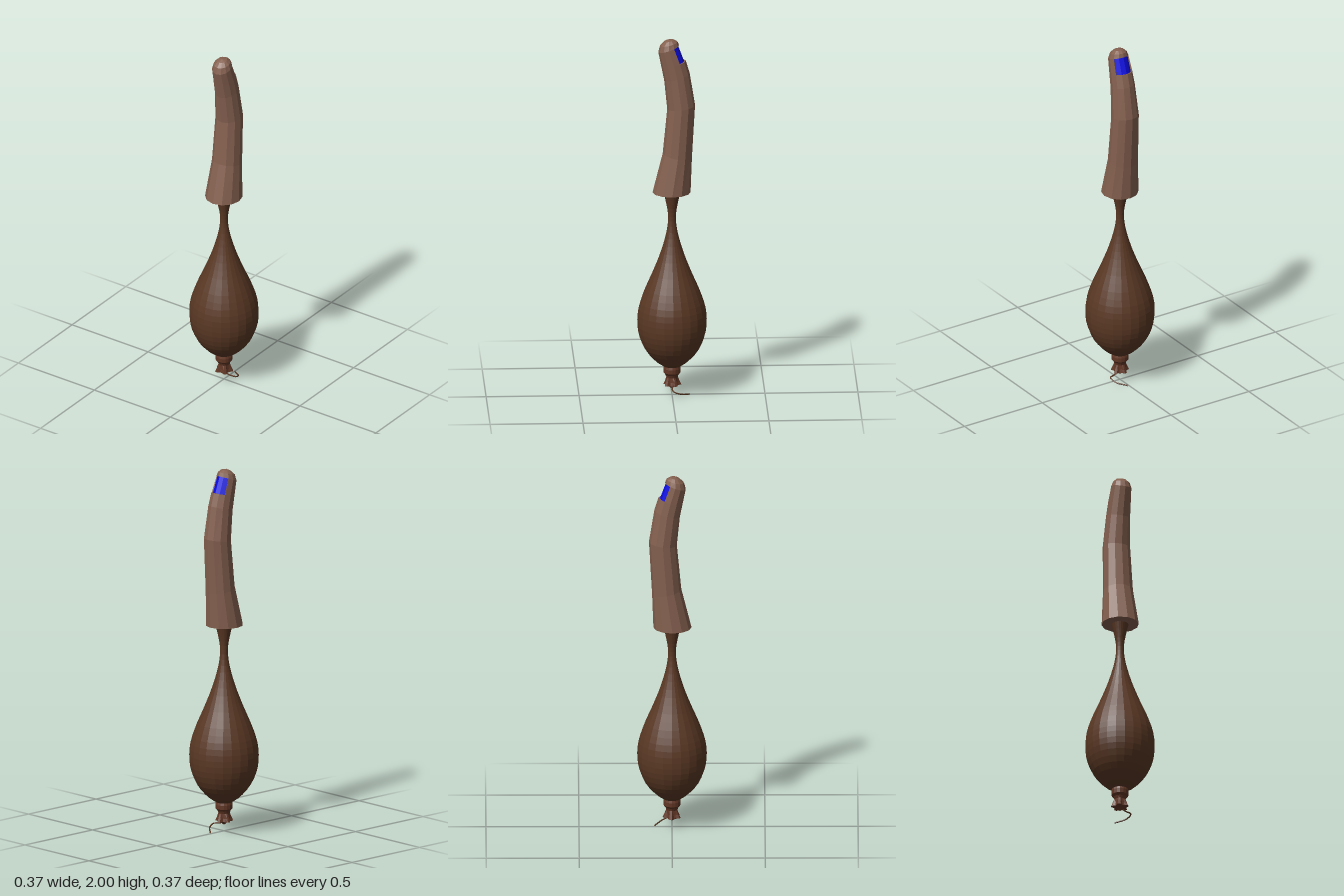
import * as THREE from 'three';

const skin = new THREE.MeshStandardMaterial({ color: 0x84604f, flatShading: true, side: THREE.DoubleSide });
skin.name = 'skin brown';
const wood = new THREE.MeshStandardMaterial({ color: 0x5a3824, flatShading: true, side: THREE.DoubleSide });
wood.name = 'dark brown';
const knotBrown = new THREE.MeshStandardMaterial({ color: 0x623725, flatShading: true, side: THREE.DoubleSide });
knotBrown.name = 'reddish brown';
const blue = new THREE.MeshStandardMaterial({ color: 0x0a0ae0, flatShading: true, side: THREE.DoubleSide });
blue.name = 'nail blue';

const SIDES = 12;

// tilted oval cross-section: left end, right end, half depth in z
function ring([lx, ly, rx, ry, rz], scale = 1) {
  const points = [];
  for (let k = 0; k < SIDES; k++) {
    const a = (k / SIDES) * Math.PI * 2;
    const c = Math.cos(a) * scale;
    points.push(new THREE.Vector3(
      (lx + rx) / 2 + ((rx - lx) / 2) * c,
      (ly + ry) / 2 + ((ry - ly) / 2) * c,
      rz * scale * Math.sin(a)));
  }
  return points;
}

function meshFromTriangles(name, points, material) {
  const geometry = new THREE.BufferGeometry().setFromPoints(points);
  geometry.computeVertexNormals();
  const mesh = new THREE.Mesh(geometry, material);
  mesh.name = name;
  return mesh;
}

function lathe(name, profile, sides, material) {
  const geometry = new THREE.LatheGeometry(profile.map(([r, y]) => new THREE.Vector2(r, y)), sides);
  const mesh = new THREE.Mesh(geometry, material);
  mesh.name = name;
  return mesh;
}

function createFinger() {
  const group = new THREE.Group();
  group.name = 'finger';
  const sections = [
    [-0.105, 1.14, 0.1, 1.14, 0.1],
    [-0.05, 1.36, 0.107, 1.33, 0.082],
    [-0.026, 1.61, 0.124, 1.63, 0.074],
    [-0.042, 1.77, 0.095, 1.81, 0.064],
    [-0.058, 1.85, 0.074, 1.88, 0.06],
    [-0.074, 1.93, 0.038, 1.967, 0.054],
    [-0.065, 1.965, 0.03, 1.987, 0.045],
    [-0.042, 1.988, 0.01, 1.998, 0.027],
  ];
  const rings = sections.map((s) => ring(s));
  const nailRow = 4;
  const isNail = (k) => k < 2 || k >= SIDES - 2;
  const body = [];
  const quad = (list, a, b, c, d) => list.push(a, b, c, c, b, d);

  // side walls, leaving the nail bed open
  for (let i = 0; i < rings.length - 1; i++) {
    for (let k = 0; k < SIDES; k++) {
      if (i === nailRow && isNail(k)) continue;
      const n = (k + 1) % SIDES;
      quad(body, rings[i][k], rings[i + 1][k], rings[i][n], rings[i + 1][n]);
    }
  }

  // tip and flat base
  const tip = new THREE.Vector3(-0.018, 2, 0);
  const base = new THREE.Vector3(0, 1.14, 0);
  const last = rings[rings.length - 1];
  for (let k = 0; k < SIDES; k++) {
    const n = (k + 1) % SIDES;
    body.push(last[k], tip, last[n]);
    body.push(rings[0][k], rings[0][n], base);
  }

  // recessed nail with its rim
  const low = rings[nailRow];
  const high = rings[nailRow + 1];
  const lowIn = ring(sections[nailRow], 0.86);
  const highIn = ring(sections[nailRow + 1], 0.9);
  const nail = [];
  for (let k = 0; k < SIDES; k++) {
    if (!isNail(k)) continue;
    const n = (k + 1) % SIDES;
    quad(nail, lowIn[k], highIn[k], lowIn[n], highIn[n]);
    quad(body, low[k], lowIn[k], low[n], lowIn[n]);
    quad(body, highIn[k], high[k], highIn[n], high[n]);
  }
  quad(body, lowIn[2], highIn[2], low[2], high[2]);
  quad(body, low[SIDES - 2], high[SIDES - 2], lowIn[SIDES - 2], highIn[SIDES - 2]);

  group.add(meshFromTriangles('fingerBody', body, skin));
  group.add(meshFromTriangles('fingerNail', nail, blue));
  return group;
}

function createKnot() {
  const group = new THREE.Group();
  group.name = 'knot';
  group.add(lathe('knotCollar', [
    [0.042, 0.17], [0.047, 0.15], [0.046, 0.127], [0.036, 0.115], [0.03, 0.1],
  ].reverse(), 16, knotBrown));

  // gathered, ruffled end below the collar
  const ruffle = lathe('knotRuffle', [
    [0, 0.035], [0.018, 0.05], [0.042, 0.057], [0.036, 0.075], [0.03, 0.1], [0.034, 0.118],
  ], 20, knotBrown);
  const p = ruffle.geometry.attributes.position;
  for (let i = 0; i < p.count; i++) {
    const fold = 1 + 0.24 * Math.cos(5 * Math.atan2(p.getZ(i), p.getX(i)) + 0.6)
      * THREE.MathUtils.clamp((0.11 - p.getY(i)) / 0.04, 0, 1);
    p.setX(i, p.getX(i) * fold);
    p.setZ(i, p.getZ(i) * fold);
  }
  ruffle.geometry.computeVertexNormals();
  group.add(ruffle);

  // loose curling thread
  const path = new THREE.CatmullRomCurve3([
    [0, 0.055, 0], [0, 0.04, 0.03], [0.01, 0.034, 0.068], [0.048, 0.02, 0.06], [0.093, 0.005, 0.008],
  ].map((v) => new THREE.Vector3(...v)));
  const thread = new THREE.Mesh(new THREE.TubeGeometry(path, 20, 0.004, 5), wood);
  thread.name = 'thread';
  group.add(thread);
  return group;
}

export function createModel() {
  const model = new THREE.Group();
  model.name = 'fingerOnBulb';

  // teardrop bulb drawn out into a thin neck
  const outline = new THREE.SplineCurve([
    [0.04, 0.16], [0.09, 0.195], [0.145, 0.26], [0.178, 0.34], [0.187, 0.42], [0.178, 0.5],
    [0.148, 0.59], [0.105, 0.69], [0.066, 0.79], [0.036, 0.89], [0.022, 0.97], [0.023, 1.03],
    [0.034, 1.09], [0.047, 1.145],
  ].map(([r, y]) => new THREE.Vector2(r, y)));
  const profile = outline.getPoints(32).map((v) => [v.x, v.y]);
  model.add(lathe('bulb', [[0, 0.16], ...profile], 24, wood));

  model.add(createFinger());
  model.add(createKnot());
  return model;
}
